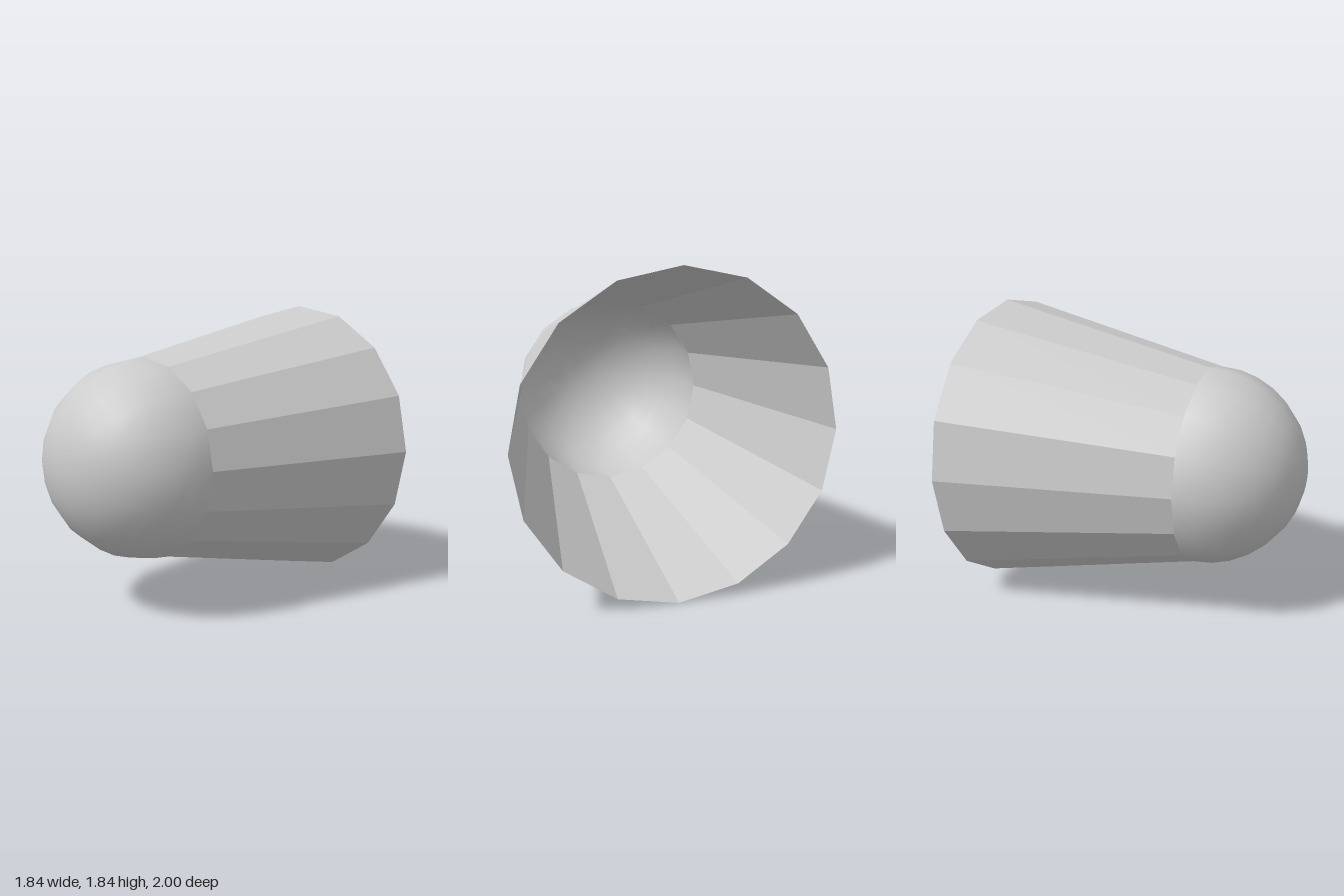
import * as THREE from 'three';

const SIDES = 16;
const NOSE_RADIUS = 0.61;
const BASE_RADIUS = 0.918;
const JOINT_Z = 0.39; // where the cone meets the dome

export function createModel() {
  const group = new THREE.Group();
  group.name = 'domedCone';

  const addPart = (name, geometry, z, flatShading) => {
    geometry.rotateX(Math.PI / 2); // turn the axis from +y to +z
    const material = new THREE.MeshStandardMaterial({
      color: 0xcccccc, side: THREE.DoubleSide, flatShading,
    });
    const mesh = new THREE.Mesh(geometry, material);
    mesh.name = name;
    mesh.position.set(0, BASE_RADIUS, z);
    group.add(mesh);
  };

  // Faceted shell, open at both ends, widening to the back
  const length = JOINT_Z + 1;
  addPart('coneShell',
    new THREE.CylinderGeometry(NOSE_RADIUS, BASE_RADIUS, length, SIDES, 1, true),
    JOINT_Z - length / 2, true);

  // Smooth hollow half sphere closing the front
  addPart('noseDome',
    new THREE.SphereGeometry(NOSE_RADIUS, SIDES, 8, 0, Math.PI * 2, 0, Math.PI / 2),
    JOINT_Z, false);

  return group;
}
